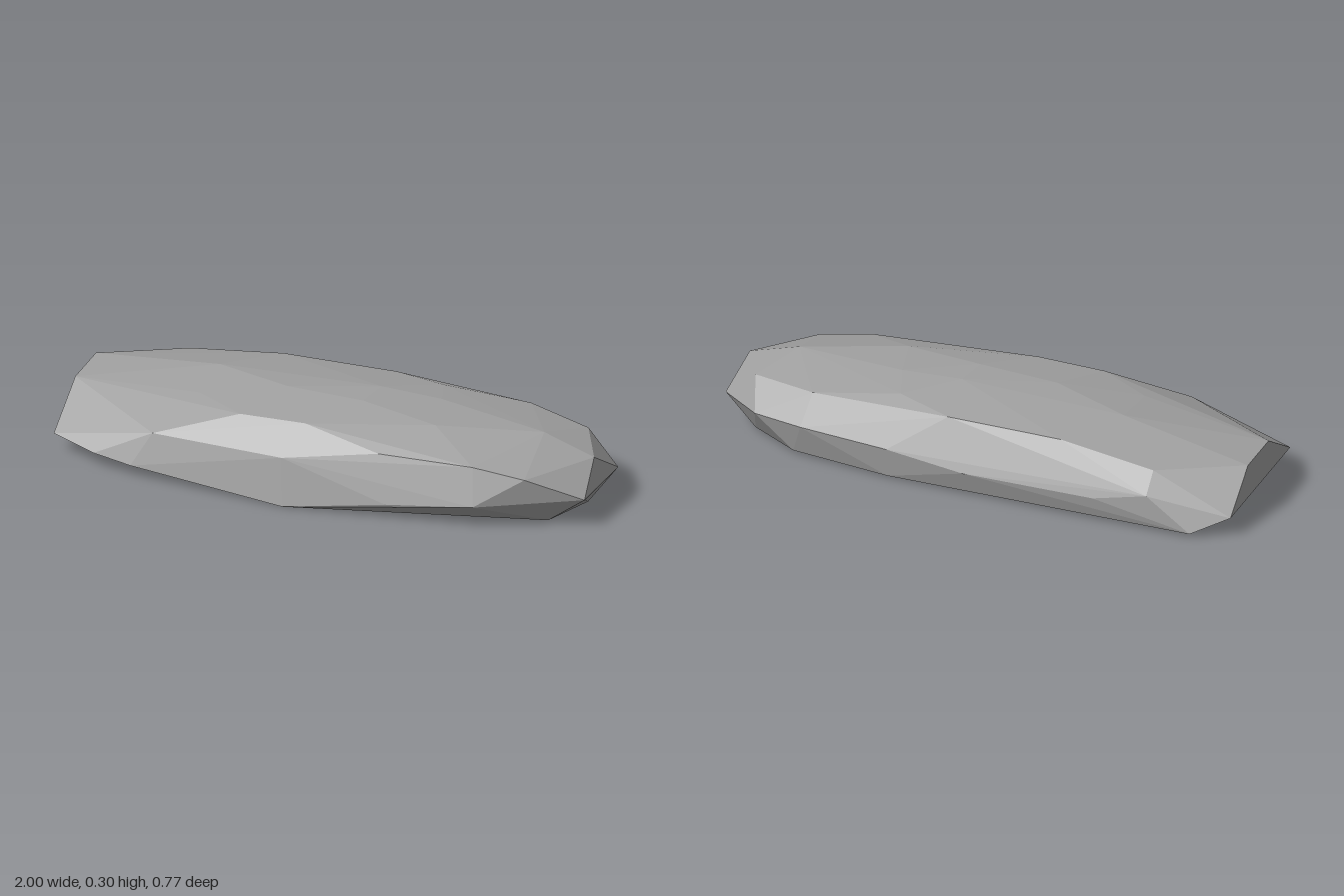
import * as THREE from 'three';
import { ConvexGeometry } from 'three/addons/geometries/ConvexGeometry.js';

// Corner points of the stone, grouped in bands as [x, y, z]
const bands = {
  flatEnd: [[-1, 0.07, -0.31], [-1, 0.2, -0.14], [-1, 0.2, 0.06], [-1, 0.07, 0.27]],
  pointedEnd: [[1, 0.11, -0.145], [0.985, 0.11, 0.145], [0.965, 0.21, 0], [0.87, 0.225, -0.185], [0.83, 0.13, -0.295]],
  base: [
    [-0.87, 0.015, -0.38], [0.3, 0.008, -0.35], [0.68, 0.012, -0.3], [0.87, 0.012, -0.185],
    [0.93, 0.013, -0.03], [0.85, 0.01, 0.155], [-0.08, 0, 0.385],
  ],
  frontEdge: [
    [-0.82, 0.057, 0.34], [-0.67, 0.046, 0.365], [0.3, 0.06, 0.347], [0.62, 0.09, 0.31],
    [-0.6, 0.17, 0.325], [-0.1, 0.17, 0.34], [0.25, 0.225, 0.285], [0.6, 0.222, 0.258], [0.79, 0.195, 0.235],
  ],
  backEdge: [
    [-0.7, 0.13, -0.37], [-0.5, 0.09, -0.385], [0, 0.09, -0.38], [0.3, 0.12, -0.362], [0.64, 0.13, -0.335],
    [-0.7, 0.2, -0.3], [-0.34, 0.25, -0.29], [0.09, 0.257, -0.29], [0.62, 0.24, -0.265],
  ],
  crown: [
    [-0.79, 0.23, -0.1], [-0.5, 0.275, -0.08], [-0.5, 0.255, 0.12], [-0.3, 0.26, 0.235], [-0.05, 0.268, 0.235],
    [-0.2, 0.294, 0.03], [0.1, 0.3, 0.05], [0.12, 0.3, -0.08], [0.35, 0.292, -0.08], [0.4, 0.285, 0.11],
    [0.77, 0.27, -0.01], [0.3, 0.275, -0.22],
  ],
};

export function createModel() {
  const group = new THREE.Group();
  group.name = 'stone';
  const stoneGrey = new THREE.MeshStandardMaterial({ color: 0xa0a0a0 });
  stoneGrey.name = 'stoneGrey';

  // One faceted shell wrapped around all the corner points
  const points = Object.values(bands).flat().map((p) => new THREE.Vector3(...p));
  const rock = new THREE.Mesh(new ConvexGeometry(points), stoneGrey);
  rock.name = 'rock';
  group.add(rock);
  return group;
}
